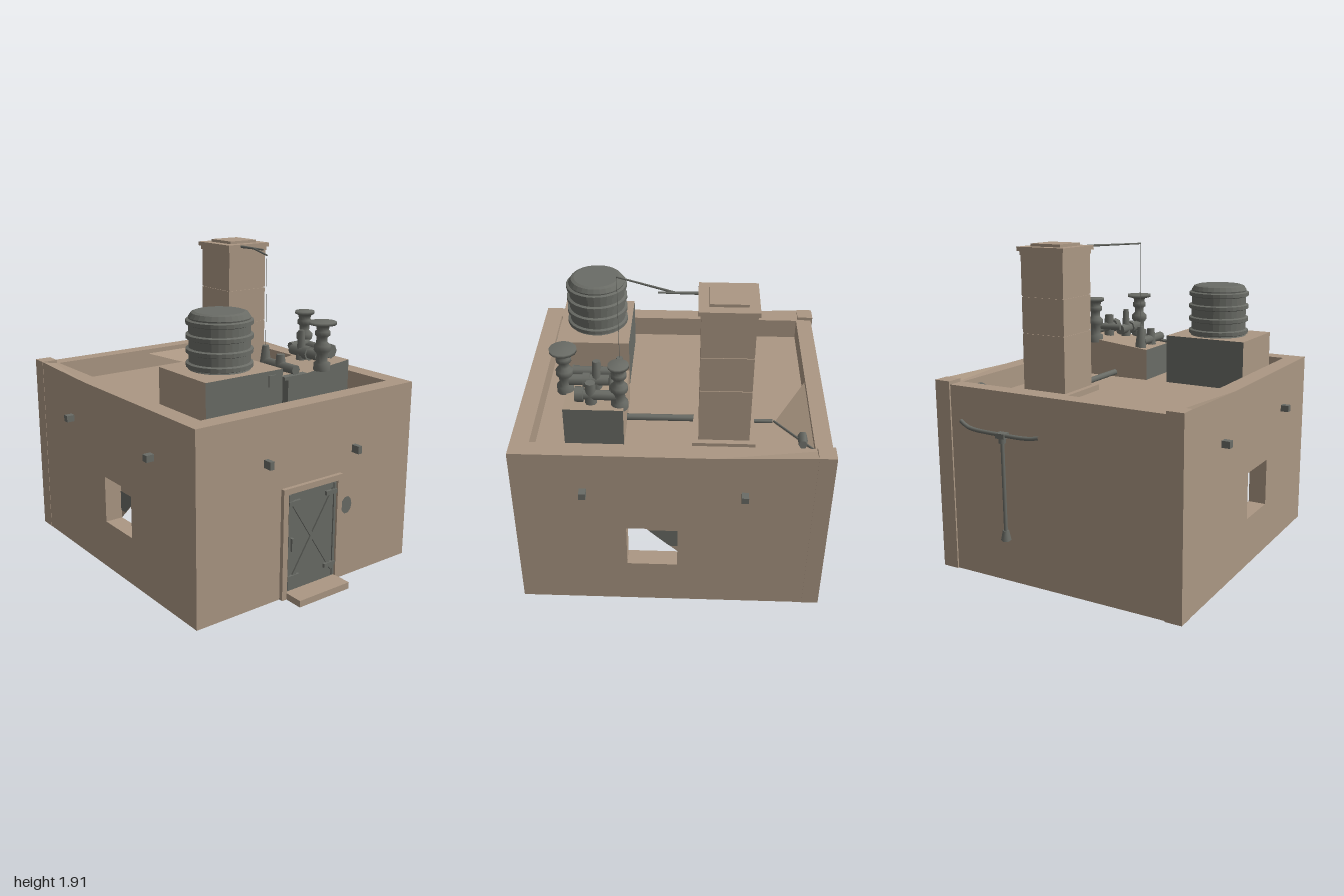
import * as THREE from 'three';

export function createModel() {
  const model = new THREE.Group();
  const plaster = new THREE.MeshStandardMaterial({ color: 0xab9783 });
  plaster.name = 'plaster';
  const metal = new THREE.MeshStandardMaterial({ color: 0x6a6c66 });
  metal.name = 'weatheredMetal';
  const V = (x, y, z) => new THREE.Vector3(x, y, z);

  const add = (name, geo, mat) => {
    const m = new THREE.Mesh(geo, mat);
    m.name = name;
    model.add(m);
    return m;
  };
  // box given by its limits on each axis
  const box = (name, mat, x0, x1, y0, y1, z0, z1) => {
    const g = new THREE.BoxGeometry(x1 - x0, y1 - y0, z1 - z0);
    g.translate((x0 + x1) / 2, (y0 + y1) / 2, (z0 + z1) / 2);
    return add(name, g, mat);
  };
  // round bar between two points
  const rod = (name, a, b, r0, r1 = r0, sides = 8) => {
    const m = add(name, new THREE.CylinderGeometry(r1, r0, a.distanceTo(b), sides), metal);
    m.position.copy(a).lerp(b, 0.5);
    m.quaternion.setFromUnitVectors(V(0, 1, 0), b.clone().sub(a).normalize());
    return m;
  };
  const lathe = (name, pts, x, z, sides) => {
    const m = add(name, new THREE.LatheGeometry(pts.map(p => new THREE.Vector2(...p)), sides), metal);
    m.position.set(x, 0, z);
    return m;
  };
  const shape = pts => new THREE.Shape(pts.map(p => new THREE.Vector2(...p)));

  // ---- building shell ----
  for (const s of [1, -1]) {
    const toLocal = pts => pts.map(([z, y]) => [-s * z, y]);
    const place = (name, geo, mat, x) => {
      geo.rotateY(s * Math.PI / 2);
      geo.translate(s * x, 0, 0);
      return add(name, geo, mat);
    };
    const wall = shape(toLocal([[0.86, 0], [0.86, 1.13], [-0.3, 1.13], [-0.95, 1.15], [-0.95, 0]]));
    wall.holes.push(shape(toLocal([[0.21, 0.3], [0.21, 0.59], [-0.09, 0.59], [-0.09, 0.3]])));
    place('sideWall', new THREE.ShapeGeometry(wall), plaster, 0.8);
    // inward-facing window reveal without its two ends
    const reveal = new THREE.BoxGeometry(0.11, 0.29, 0.3);
    reveal.setIndex(Array.from(reveal.index.array).slice(12));
    reveal.clearGroups();
    const flipped = Array.from(reveal.index.array);
    for (let i = 0; i < flipped.length; i += 3) [flipped[i], flipped[i + 1]] = [flipped[i + 1], flipped[i]];
    reveal.setIndex(flipped);
    const n = reveal.attributes.normal;
    for (let i = 0; i < n.count; i++) n.setXYZ(i, -n.getX(i), -n.getY(i), -n.getZ(i));
    add('windowReveal', reveal, plaster).position.set(s * 0.745, 0.445, 0.06);
    // half-broken shutter and its stain
    place('windowShutter', new THREE.ShapeGeometry(shape(toLocal(
      [[0.21, 0.59], [-0.09, 0.59], [-0.09, 0.3]]))), plaster, 0.69);
    place('shutterStain', new THREE.ShapeGeometry(shape(toLocal(
      [[0.09, 0.475], [-0.09, 0.475], [-0.09, 0.35], [-0.04, 0.35]]))), metal, 0.694);
    // rear corner pilaster
    box('cornerPilaster', plaster, s > 0 ? 0.7 : -0.802, s > 0 ? 0.802 : -0.7, 0, 1.15, -0.96, -0.86);
    // side drain spouts
    for (const z of [0.45, -0.47])
      box('drainSpout', metal, Math.min(s * 0.79, s * 0.85), Math.max(s * 0.79, s * 0.85), 0.85, 0.89, z - 0.02, z + 0.02);
  }
  const plane = (name, w, h, x, y, z, rx, ry) => {
    const m = add(name, new THREE.PlaneGeometry(w, h), plaster);
    m.position.set(x, y, z);
    m.rotation.set(rx, ry, 0);
  };
  plane('frontWall', 1.6, 1.13, 0, 0.565, 0.86, 0, 0);
  plane('backWall', 1.6, 1.13, 0, 0.565, -0.95, 0, Math.PI);
  plane('underside', 1.6, 1.81, 0, 0, -0.045, Math.PI / 2, 0);
  plane('roofFloor', 1.44, 1.66, 0, 1, -0.05, -Math.PI / 2, 0);

  // parapet ring, rising a little at the rear corners
  const ring = shape([[-0.799, -0.859], [0.799, -0.859], [0.799, 0.3], [0.799, 0.949], [0.7, 0.949],
    [-0.7, 0.949], [-0.799, 0.949], [-0.799, 0.3]]);
  ring.holes.push(shape([[-0.69, -0.75], [-0.69, 0.3], [-0.69, 0.85], [0.69, 0.85], [0.69, 0.3], [0.69, -0.75]]));
  const parapet = new THREE.ExtrudeGeometry(ring, { depth: 0.14, bevelEnabled: false });
  parapet.rotateX(-Math.PI / 2);
  parapet.translate(0, 0.99, 0);
  const pp = parapet.attributes.position;
  for (let i = 0; i < pp.count; i++)
    if (pp.getY(i) > 1.1 && pp.getZ(i) < -0.8 && Math.abs(pp.getX(i)) > 0.75) pp.setY(i, 1.15);
  parapet.computeVertexNormals();
  add('parapet', parapet, plaster);

  // collapsed slab leaning on the rear parapet, with debris
  const slab = new THREE.BufferGeometry();
  slab.setAttribute('position', new THREE.Float32BufferAttribute(
    [0, 1.1, -0.85, 0.3, 1.005, -0.65, 0.69, 1.1, -0.85], 3));
  slab.computeVertexNormals();
  add('leaningSlab', slab, plaster);
  rod('debrisRod', V(0.3, 1.02, -0.65), V(0.68, 1.11, -0.85), 0.007);
  rod('debrisLump', V(0.5, 1.07, -0.8), V(0.62, 1.1, -0.79), 0.03, 0.025, 6);

  // ---- door ----
  box('doorStep', plaster, -0.19, 0.19, 0, 0.04, 0.86, 1);
  for (const s of [-1, 1]) box('doorJamb', plaster, s * 0.205 - 0.018, s * 0.205 + 0.018, 0, 0.64, 0.855, 0.885);
  box('doorLintel', plaster, -0.223, 0.223, 0.64, 0.675, 0.855, 0.885);
  box('doorPanel', metal, -0.187, 0.187, 0.04, 0.64, 0.855, 0.87);
  for (const s of [-1, 1]) {
    const brace = box('doorBrace', metal, -0.3, 0.3, -0.011, 0.011, 0.865, 0.88);
    brace.position.y = 0.345;
    brace.rotation.z = s * Math.atan2(0.5, 0.32);
    box('doorStile', metal, s * 0.172 - 0.008, s * 0.172 + 0.008, 0.05, 0.63, 0.865, 0.879);
    for (const y of [0.125, 0.58]) box('doorHinge', metal, s * 0.14 - 0.042, s * 0.14 + 0.042, y - 0.013, y + 0.013, 0.865, 0.886);
  }
  box('doorHandle', metal, -0.163, -0.147, 0.29, 0.37, 0.865, 0.893);
  const patch = add('wallPatch', new THREE.CircleGeometry(0.042, 10), metal);
  patch.scale.y = 1.3;
  patch.position.set(0.28, 0.46, 0.864);
  for (const [x, y] of [[-0.335, 0.85], [0.325, 0.805]])
    box('drainSpout', metal, x - 0.014, x + 0.014, y - 0.023, y + 0.023, 0.85, 0.915);

  // ---- water tank on its plinth ----
  box('tankPlinth', [plaster, plaster, plaster, plaster, metal, metal], -0.612, -0.083, 0.99, 1.305, 0.24, 0.69);
  box('plinthHatch', metal, -0.185, -0.137, 1.215, 1.28, 0.685, 0.699);
  const tank = [[0, 1.3], [0.18, 1.3]];
  for (let i = 0; i < 4; i++) {
    const y = 1.325 + i * 0.08;
    tank.push([0.174, y - 0.012], [0.19, y - 0.006], [0.19, y + 0.016], [0.174, y + 0.022]);
  }
  tank.push([0.176, 1.595], [0.16, 1.62], [0.14, 1.627], [0, 1.627]);
  const tankGeo = lathe('waterTank', tank, -0.347, 0.455, 28);
  tankGeo.geometry = tankGeo.geometry.toNonIndexed();
  tankGeo.geometry.computeVertexNormals();

  // ---- pump unit with a sloping top ----
  const base = box('pumpPlinth', [metal, metal, plaster, plaster, metal, plaster], 0.06, 0.54, 0.99, 1.25, 0.23, 0.575);
  const bp = base.geometry.attributes.position;
  for (let i = 0; i < bp.count; i++) if (bp.getY(i) > 1.1 && bp.getX(i) < 0.3) bp.setY(i, 1.2);
  base.geometry.computeVertexNormals();
  const stack = [[0.05, 1.22], [0.05, 1.265], [0.034, 1.27], [0.034, 1.32], [0.05, 1.34], [0.05, 1.37],
    [0.03, 1.39], [0.03, 1.42], [0.045, 1.43], [0.045, 1.455], [0.035, 1.46], [0.04, 1.485]];
  for (const [x, z, r] of [[0.31, 0.585, 0.08], [0.463, 0.255, 0.06]]) {
    lathe('ventStack', [...stack, [r, 1.495], [r, 1.512], [0, 1.514]], x, z, 14);
  }
  rod('pumpPipe', V(0.31, 1.3, 0.56), V(0.31, 1.3, 0.32), 0.033);
  rod('pumpPipe', V(0.463, 1.3, 0.26), V(0.455, 1.3, 0.48), 0.03);
  rod('pumpCrossPipe', V(0.3, 1.32, 0.31), V(0.46, 1.32, 0.29), 0.022);
  rod('pumpFlange', V(0.455, 1.3, 0.46), V(0.455, 1.3, 0.51), 0.045);
  rod('pumpFlange', V(0.31, 1.3, 0.44), V(0.31, 1.3, 0.48), 0.044);
  rod('pumpValve', V(0.31, 1.25, 0.4), V(0.31, 1.43, 0.4), 0.032, 0.018);
  rod('pumpLeg', V(0.455, 1.23, 0.42), V(0.455, 1.38, 0.42), 0.035, 0.03);
  rod('inletPipe', V(0.13, 1.24, 0.3), V(0.13, 1.24, 0.56), 0.03);
  rod('inletCone', V(0.13, 1.19, 0.28), V(0.13, 1.34, 0.28), 0.04, 0.02);
  rod('inletValve', V(0.13, 1.2, 0.42), V(0.13, 1.31, 0.42), 0.036, 0.025);
  box('inletPlate', metal, 0.03, 0.22, 1.195, 1.215, 0.535, 0.58);

  // ---- chimney ----
  const square = (name, half, y0, y1) =>
    box(name, plaster, 0.363 - half, 0.363 + half, y0, y1, -0.347 - half, -0.347 + half);
  square('chimneyBase', 0.182, 0.99, 1.035);
  [[1.03, 1.377], [1.383, 1.597], [1.603, 1.87]].forEach(([a, b]) => square('chimneyBlock', 0.148, a, b));
  square('chimneyCore', 0.143, 1.03, 1.87);
  square('chimneyCap', 0.165, 1.868, 1.893);
  square('chimneyLid', 0.105, 1.89, 1.91);
  square('chimneyNeck', 0.153, 1.845, 1.87);

  // roof pipes beside the chimney
  rod('roofPipe', V(0.3, 1.03, -0.17), V(0.3, 1.03, 0.23), 0.02);
  rod('roofPipe', V(0.3, 1.02, -0.64), V(0.3, 1.02, -0.52), 0.012);

  // aerial arm with a hanging wire
  rod('aerialArm', V(0.3, 1.88, -0.19), V(0.3, 1.88, 0.04), 0.009, 0.005);
  rod('aerialArm', V(0.3, 1.88, -0.06), V(0.13, 1.88, 0.28), 0.007, 0.005);
  rod('aerialWire', V(0.13, 1.88, 0.28), V(0.13, 1.33, 0.28), 0.0015, 0.0015, 4);

  // ---- T-shaped pipe on the back wall ----
  const arm = new THREE.CatmullRomCurve3([V(0.62, 0.93, -0.965), V(0.56, 0.9, -0.972),
    V(0.32, 0.89, -0.982), V(0.14, 0.89, -0.975), V(0.08, 0.9, -0.965)]);
  add('backPipeArm', new THREE.TubeGeometry(arm, 16, 0.012, 6), metal);
  rod('backPipeStem', V(0.32, 0.89, -0.975), V(0.32, 0.3, -0.97), 0.011);
  rod('backPipeCollar', V(0.32, 0.84, -0.975), V(0.32, 0.9, -0.975), 0.02);
  rod('backPipeFoot', V(0.32, 0.26, -0.97), V(0.32, 0.32, -0.97), 0.03, 0.018, 6);
  box('backPipeBracket', metal, 0.29, 0.35, 0.87, 0.9, -1, -0.945);

  return model;
}
